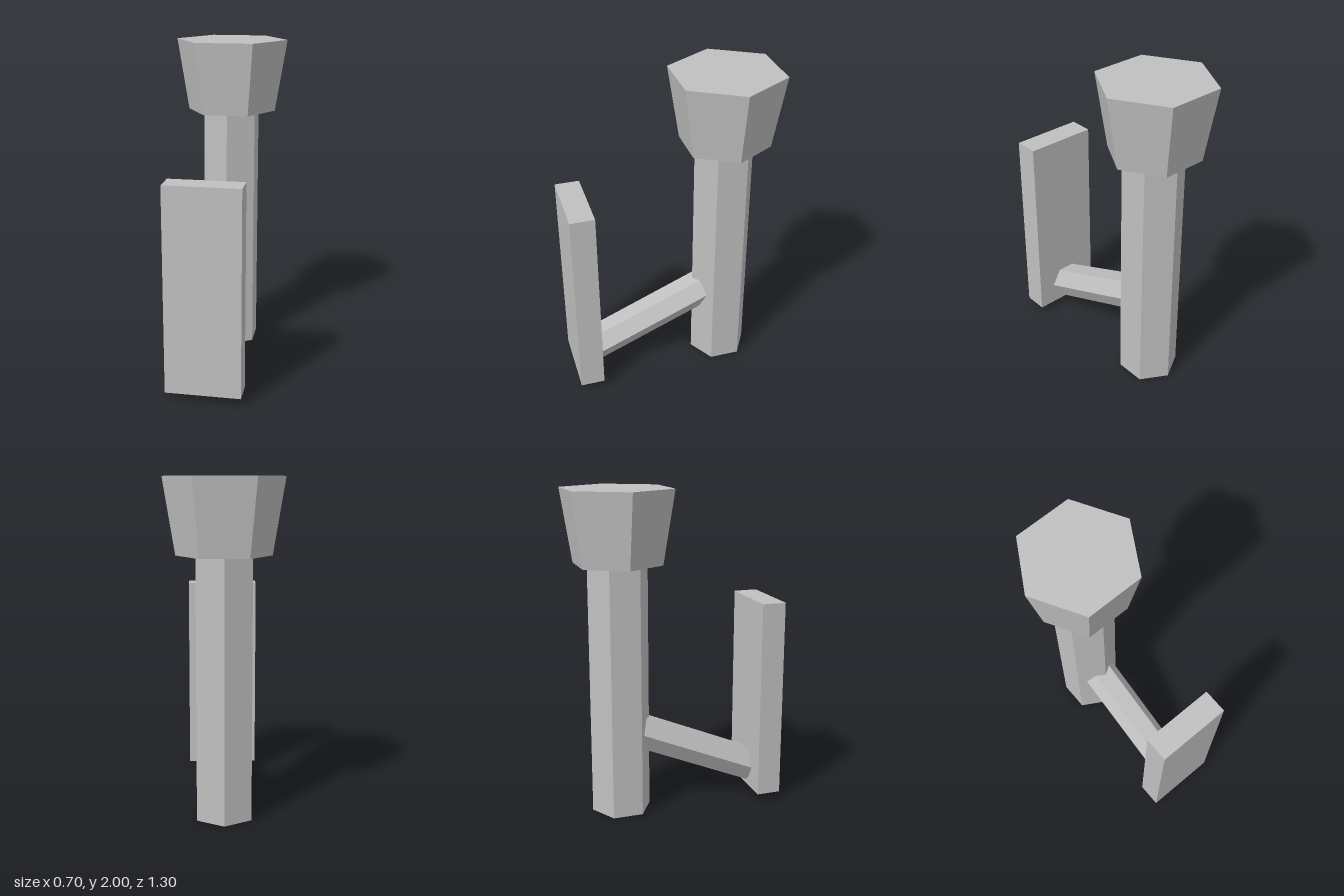
import * as THREE from 'three';

export function createModel() {
  const model = new THREE.Group();
  const grey = new THREE.MeshStandardMaterial({ color: 0xc0c0c0, flatShading: true, side: THREE.DoubleSide });
  grey.name = 'plain grey';

  const add = (name, geometry, x, y, z) => {
    const mesh = new THREE.Mesh(geometry, grey);
    mesh.name = name;
    mesh.position.set(x, y, z);
    model.add(mesh);
    return mesh;
  };
  // six-sided prism; a turn of 30 degrees puts corners on the x axis
  const hex = (top, bottom, height, open, turn = 0) =>
    new THREE.CylinderGeometry(top, bottom, height, 6, 1, open).rotateY(turn);

  const postZ = -0.347;

  // upright hollow post, open at the bottom
  add('post', hex(0.186, 0.186, 1.56, true), 0, 0.78, postZ);

  // flared head on top of the post
  add('head', hex(0.35, 0.277, 0.444, false, Math.PI / 6), 0, 1.778, postZ);

  // flat board in front
  add('board', new THREE.BoxGeometry(0.45, 1.25, 0.15), 0, 0.675, 0.575);

  // slanted arm from the board up into the post
  const start = new THREE.Vector3(0, 0.178, 0.528);
  const end = new THREE.Vector3(0, 0.54, -0.32);
  const span = end.clone().sub(start);
  const mid = start.clone().add(end).multiplyScalar(0.5);
  const arm = add('arm', hex(0.112, 0.112, span.length(), false, Math.PI / 6), mid.x, mid.y, mid.z);
  arm.quaternion.setFromUnitVectors(new THREE.Vector3(0, 1, 0), span.normalize());

  return model;
}
